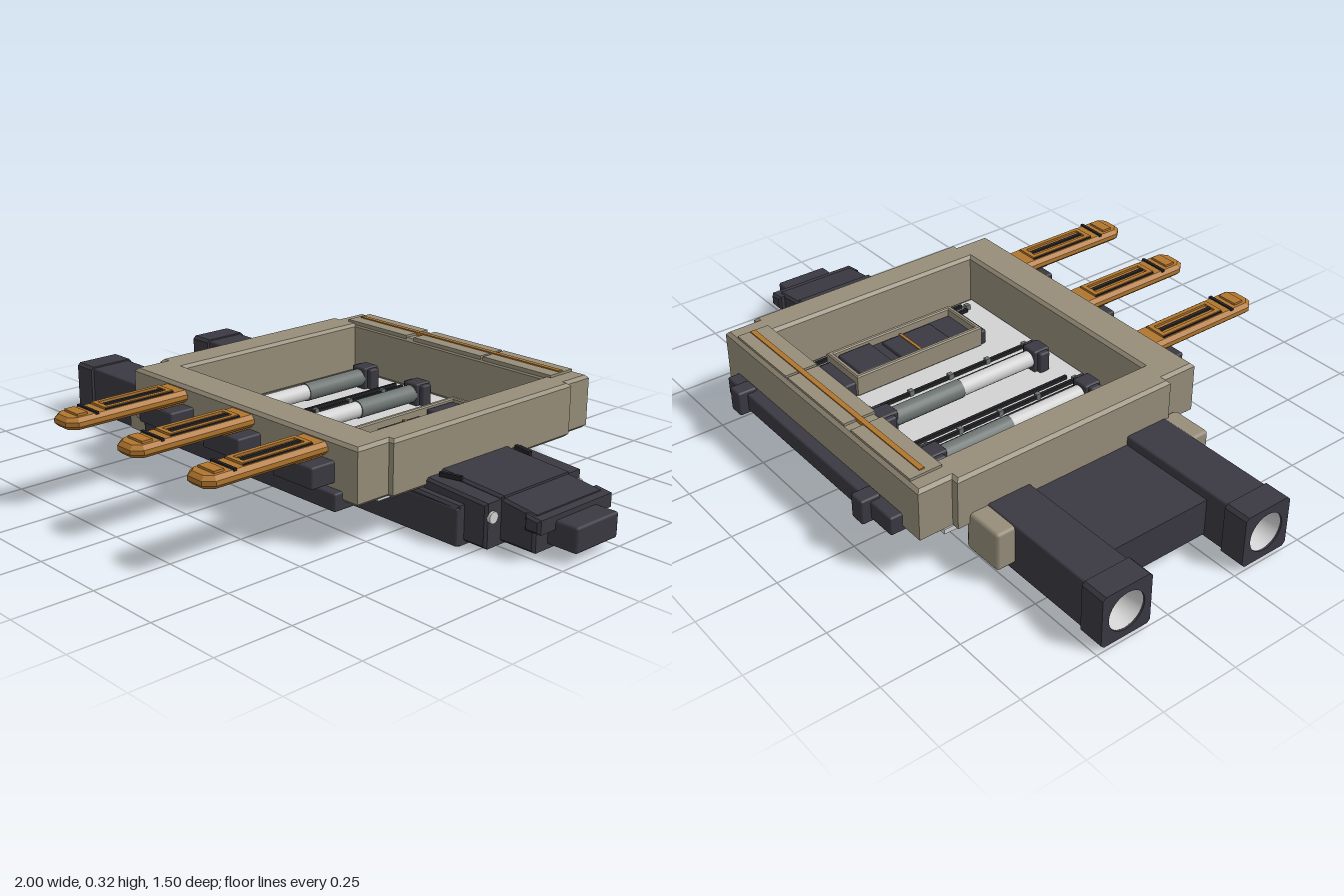
import * as THREE from 'three';
import { RoundedBoxGeometry } from 'three/addons/geometries/RoundedBoxGeometry.js';

const mat = (name, color) => {
  const m = new THREE.MeshStandardMaterial({ color });
  m.name = name;
  return m;
};

export function createModel() {
  const root = new THREE.Group();
  const dark = mat('charcoal', 0x3a3942);
  const black = mat('black', 0x222226);
  const tan = mat('khaki', 0x968d79);
  const copper = mat('copper', 0xb0752e);
  const light = mat('lightGrey', 0xd2d2d2);
  const steel = mat('steel', 0x6c7472);

  const add = (name, geo, m, parent = root) => {
    const mesh = new THREE.Mesh(geo, m);
    mesh.name = name;
    parent.add(mesh);
    return mesh;
  };
  // Box given by its extents on each axis, optionally with softened edges
  const box = (name, m, [x0, x1], [y0, y1], [z0, z1], r = 0) => {
    const s = [x1 - x0, y1 - y0, z1 - z0];
    const geo = r ? new RoundedBoxGeometry(...s, 1, r) : new THREE.BoxGeometry(...s);
    geo.translate((x0 + x1) / 2, (y0 + y1) / 2, (z0 + z1) / 2);
    return add(name, geo, m);
  };
  // Plan outline in [x, z], extruded upward from y0 to y1 with a chamfer
  const outline = pts => pts.map(([x, z]) => new THREE.Vector2(x, -z));
  const slab = (name, m, pts, y0, y1, bevel = 0, hole = null) => {
    const shape = new THREE.Shape(outline(pts));
    if (hole) shape.holes.push(new THREE.Path(outline(hole)));
    const geo = new THREE.ExtrudeGeometry(shape, {
      depth: y1 - y0 - 2 * bevel, bevelEnabled: bevel > 0, bevelSize: bevel,
      bevelOffset: -bevel, bevelThickness: bevel, bevelSegments: 1,
    });
    geo.rotateX(-Math.PI / 2).translate(0, y0 + bevel, 0);
    return add(name, geo, m);
  };
  const rect = (x0, x1, z0, z1) => [[x0, z0], [x0, z1], [x1, z1], [x1, z0]];
  // Side profile in [x, y], extruded between z0 and z1
  const profile = (name, m, pts, z0, z1, bevel = 0.008) => {
    const geo = new THREE.ExtrudeGeometry(new THREE.Shape(pts.map(p => new THREE.Vector2(...p))), {
      depth: z1 - z0 - 2 * bevel, bevelSize: bevel, bevelOffset: -bevel,
      bevelThickness: bevel, bevelSegments: 1,
    });
    geo.translate(0, 0, z0 + bevel);
    return add(name, geo, m);
  };

  // Open frame: wide side bars, slightly narrower end bars
  slab('frame', tan, [
    [-0.485, -0.685], [-0.485, -0.575], [-0.51, -0.575], [-0.51, 0.2], [-0.485, 0.2], [-0.485, 0.32],
    [0.535, 0.32], [0.535, 0.2], [0.553, 0.2], [0.553, -0.575], [0.535, -0.575], [0.535, -0.685],
  ], 0.133, 0.307, 0.01, rect(-0.395, 0.45, -0.565, 0.19));
  box('floorPlate', light, [-0.48, 0.51], [0.118, 0.134], [-0.6, 0.215]);

  // Cover plates and copper strip on the rear bar
  for (const [a, b] of [[-0.435, -0.15], [-0.115, 0.185], [0.195, 0.475]])
    box('rearCoverPlate', tan, [a, b], [0.3, 0.315], [-0.675, -0.57]);
  box('rearCopperStrip', copper, [-0.42, 0.47], [0.305, 0.319], [-0.634, -0.617]);

  // Long keel below the frame
  box('keel', dark, [-0.605, 0.7], [0.003, 0.119], [-0.372, 0.095], 0.006);

  // Strips along the front and rear edges
  box('frontStrip', dark, [-0.405, 0.477], [0.11, 0.165], [0.27, 0.35], 0.006);
  box('rearStrip', dark, [-0.405, 0.477], [0.125, 0.185], [-0.724, -0.67], 0.006);
  for (const x of [-0.283, 0.383])
    box('rearClip', dark, [x - 0.027, x + 0.027], [0.117, 0.197], [-0.754, -0.69], 0.006);

  // Three copper prongs with their sockets
  for (const x of [-0.27, 0.046, 0.36]) {
    box('prongSocket', dark, [x - 0.083, x + 0.083], [0.18, 0.246], [0.3, 0.405], 0.006);
    slab('prong', copper, [
      [x - 0.056, 0.3], [x - 0.056, 0.715], [x - 0.03, 0.744],
      [x + 0.03, 0.744], [x + 0.056, 0.715], [x + 0.056, 0.3],
    ], 0.256, 0.294, 0.012);
    box('prongKeel', copper, [x - 0.035, x + 0.035], [0.248, 0.262], [0.31, 0.42]);
    slab('prongRaisedRim', copper, rect(x - 0.036, x + 0.036, 0.36, 0.61), 0.29, 0.301, 0,
      rect(x - 0.022, x + 0.022, 0.375, 0.595));
    box('prongGroove', black, [x - 0.006, x + 0.006], [0.293, 0.3], [0.37, 0.6]);
    for (const s of [-1, 1])
      box('prongEdgeLine', black, [x + s * 0.038 - 0.002, x + s * 0.038 + 0.002], [0.293, 0.298], [0.36, 0.61]);
    box('prongCrossLine', black, [x - 0.05, x + 0.05], [0.291, 0.299], [0.64, 0.65]);
    box('prongTipPad', copper, [x - 0.034, x + 0.034], [0.29, 0.301], [0.67, 0.705]);
  }

  // Twin arms with square muzzles and round bright sockets
  const bore = new THREE.CylinderGeometry(0.062, 0.045, 0.075, 24, 1, true);
  bore.rotateZ(Math.PI / 2);
  const boreMat = light.clone();
  boreMat.name = 'lightGreyLining';
  boreMat.side = THREE.DoubleSide;
  for (const [z, out] of [[-0.4, -1], [0.112, 1]]) {
    box('arm', dark, [-0.925, -0.5], [0.02, 0.18], [z - 0.075, z + 0.075], 0.006);
    box('armFoot', dark, [-0.6, -0.465], [0.02, 0.118], [z - 0.075, z + 0.06], 0.006);
    const face = new THREE.Shape();
    face.moveTo(-0.085, -0.075).lineTo(-0.075, -0.085).lineTo(0.075, -0.085).lineTo(0.085, -0.075)
      .lineTo(0.085, 0.075).lineTo(0.075, 0.085).lineTo(-0.075, 0.085).lineTo(-0.085, 0.075);
    face.holes.push(new THREE.Path().absarc(0, 0, 0.062, 0, Math.PI * 2, true));
    const cap = new THREE.ExtrudeGeometry(face, { depth: 0.082, bevelEnabled: false, curveSegments: 16 });
    add('armMuzzle', cap.rotateY(-Math.PI / 2).translate(-0.917, 0.1, z), dark);
    add('muzzleLining', bore, boreMat).position.set(-0.955, 0.1, z);
    const back = add('muzzleBack', new THREE.CircleGeometry(0.05, 24), light);
    back.rotation.y = -Math.PI / 2;
    back.position.set(-0.928, 0.1, z);
    // Khaki cheek block gripping the arm
    const zs = [z - out * 0.05, z + out * 0.135].sort((a, b) => a - b);
    box('armCheek', tan, [-0.63, -0.492], [0.05, 0.176], zs, 0.01);
  }
  box('armBridge', dark, [-0.84, -0.48], [0.03, 0.15], [-0.335, 0.045]);

  // Stepped nose on the left side
  profile('noseBase', dark, [[0.5, 0.003], [0.7, 0.003], [0.7, 0.125], [0.5, 0.132]], -0.38, 0.092);
  profile('noseMiddle', dark, [[0.5, 0.012], [0.78, 0.012], [0.78, 0.148], [0.5, 0.165]], -0.35, 0.065);
  profile('noseCrown', dark, [[0.5, 0.1], [0.785, 0.1], [0.785, 0.157], [0.5, 0.176]], -0.29, 0.005);
  profile('noseFront', dark, [[0.77, 0.02], [0.9, 0.02], [0.9, 0.135], [0.77, 0.152]], -0.29, 0.003);
  profile('noseLip', dark, [[0.87, 0.085], [0.925, 0.085], [0.925, 0.128], [0.87, 0.135]], -0.31, 0.015);
  box('noseTip', dark, [0.89, 1], [0.033, 0.112], [-0.238, 0.055 - 0.11], 0.008);
  for (const z of [-0.332, 0.042])
    add('noseStud', new THREE.CylinderGeometry(0.018, 0.018, 0.012, 16)
      .rotateZ(Math.PI / 2).translate(0.782, 0.105, z), light);
  for (const [z, a] of [[-0.3, -0.25], [0.015, 0.25]]) {
    const rib = add('noseRib', new THREE.BoxGeometry(0.07, 0.014, 0.012), black);
    rib.position.set(0.6, 0.168, z);
    rib.rotation.y = a;
  }

  // Dark wires on the floor with small knots
  for (const x of [-0.36, -0.328, -0.172, -0.142, -0.112, 0.075, 0.112, 0.405, 0.435])
    box('wire', black, [x - 0.005, x + 0.005], [0.134, 0.146], [-0.545, 0.14]);
  for (const x of [-0.335, -0.142, 0.112, 0.418])
    for (const z of [-0.45, -0.295, -0.145, 0, 0.15])
      box('wireKnot', steel, [x - 0.008, x + 0.008], [0.134, 0.152], [z - 0.008, z + 0.008]);

  // Two tubes lying between dark end holders
  const tube = (name, m, r, x, z0, z1) => add(name, new THREE.CylinderGeometry(r, r, z1 - z0, 20)
    .rotateX(Math.PI / 2).translate(x, 0.172, (z0 + z1) / 2), m);
  for (const x of [-0.243, 0.002]) {
    tube('tubeRear', steel, 0.03, x, -0.46, -0.19);
    tube('tubeFront', light, 0.027, x, -0.19, 0.1);
    box('tubeHolderRear', dark, [x - 0.046, x + 0.046], [0.134, 0.205], [-0.49, -0.45], 0.006);
    box('tubeHolderRearLug', dark, [x - 0.03, x + 0.03], [0.134, 0.21], [-0.5, -0.435], 0.006);
    box('tubeHolderFront', dark, [x - 0.046, x + 0.046], [0.134, 0.205], [0.092, 0.13], 0.006);
    box('tubeHolderFrontLug', dark, [x - 0.03, x + 0.03], [0.134, 0.21], [0.08, 0.14], 0.006);
  }

  // Control unit with a khaki rim
  box('controlBase', dark, [0.207, 0.358], [0.134, 0.185], [-0.47, 0.07], 0.006);
  slab('controlRim', tan, rect(0.195, 0.37, -0.432, 0.042), 0.14, 0.212, 0.004,
    rect(0.212, 0.353, -0.415, 0.025));
  box('controlBlock', dark, [0.216, 0.347], [0.18, 0.205], [-0.405, -0.287], 0.005);
  box('controlPad', dark, [0.225, 0.34], [0.18, 0.196], [-0.245, -0.06], 0.005);
  box('controlCopperLine', copper, [0.225, 0.34], [0.19, 0.199], [-0.18, -0.17]);

  return root;
}
